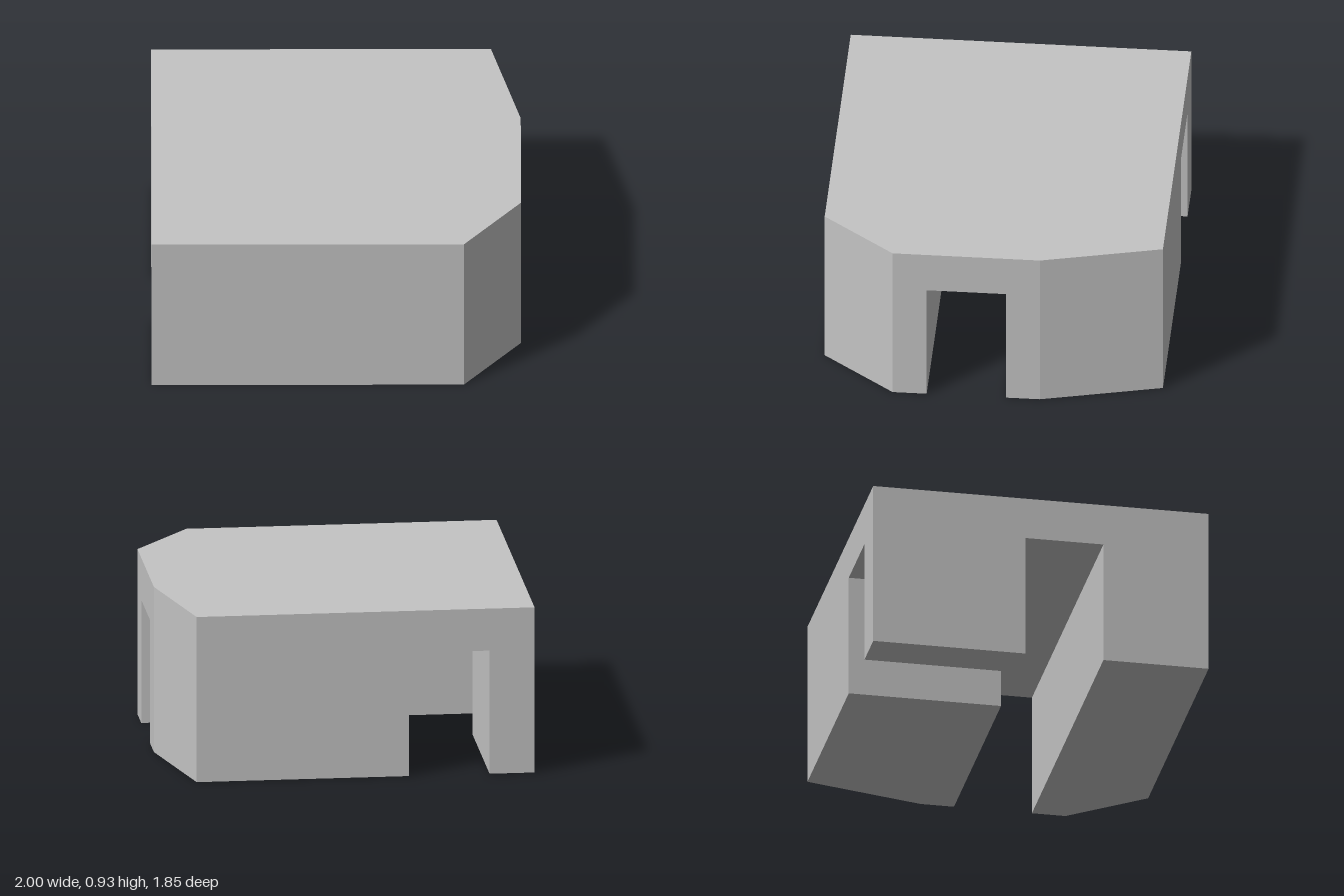
import * as THREE from 'three';

const HEIGHT = 0.925, CEILING = 0.69;

export function createModel() {
  const group = new THREE.Group();
  group.name = 'passageBlock';
  const stone = new THREE.MeshStandardMaterial({ color: 0xc4c4c4 });
  stone.name = 'plain grey';

  // Extrudes a plan outline of [x, z] points upward between two heights
  function addPrism(name, plan, bottom, top) {
    const shape = new THREE.Shape(plan.map(([x, z]) => new THREE.Vector2(x, -z)));
    const geometry = new THREE.ExtrudeGeometry(shape, { depth: top - bottom, bevelEnabled: false });
    geometry.rotateX(-Math.PI / 2);
    geometry.translate(0, bottom, 0);
    const mesh = new THREE.Mesh(geometry, stone);
    mesh.name = name;
    group.add(mesh);
  }

  // Plan limits: outer walls, the long passage and its branch to the back
  const west = -1, east = 1, front = 0.925, back = -0.925;
  const passFront = 0.345, passBack = -0.085;
  const branchWest = -0.755, branchEast = -0.315;
  const frontCut = [[0.69, front], [east, 0.53]];
  const backCut = [[east, -0.27], [0.84, back]];

  // Roof slab over everything
  addPrism('roof', [[west, front], ...frontCut, ...backCut, [west, back]], CEILING, HEIGHT);

  // Solid blocks standing around the passages
  addPrism('frontBlock', [[west, front], ...frontCut, [east, passFront], [west, passFront]], 0, CEILING);
  addPrism('backLargeBlock', [[branchEast, passBack], [east, passBack], ...backCut, [branchEast, back]], 0, CEILING);
  addPrism('backCornerPillar', [[west, passBack], [branchWest, passBack], [branchWest, back], [west, back]], 0, CEILING);

  return group;
}
